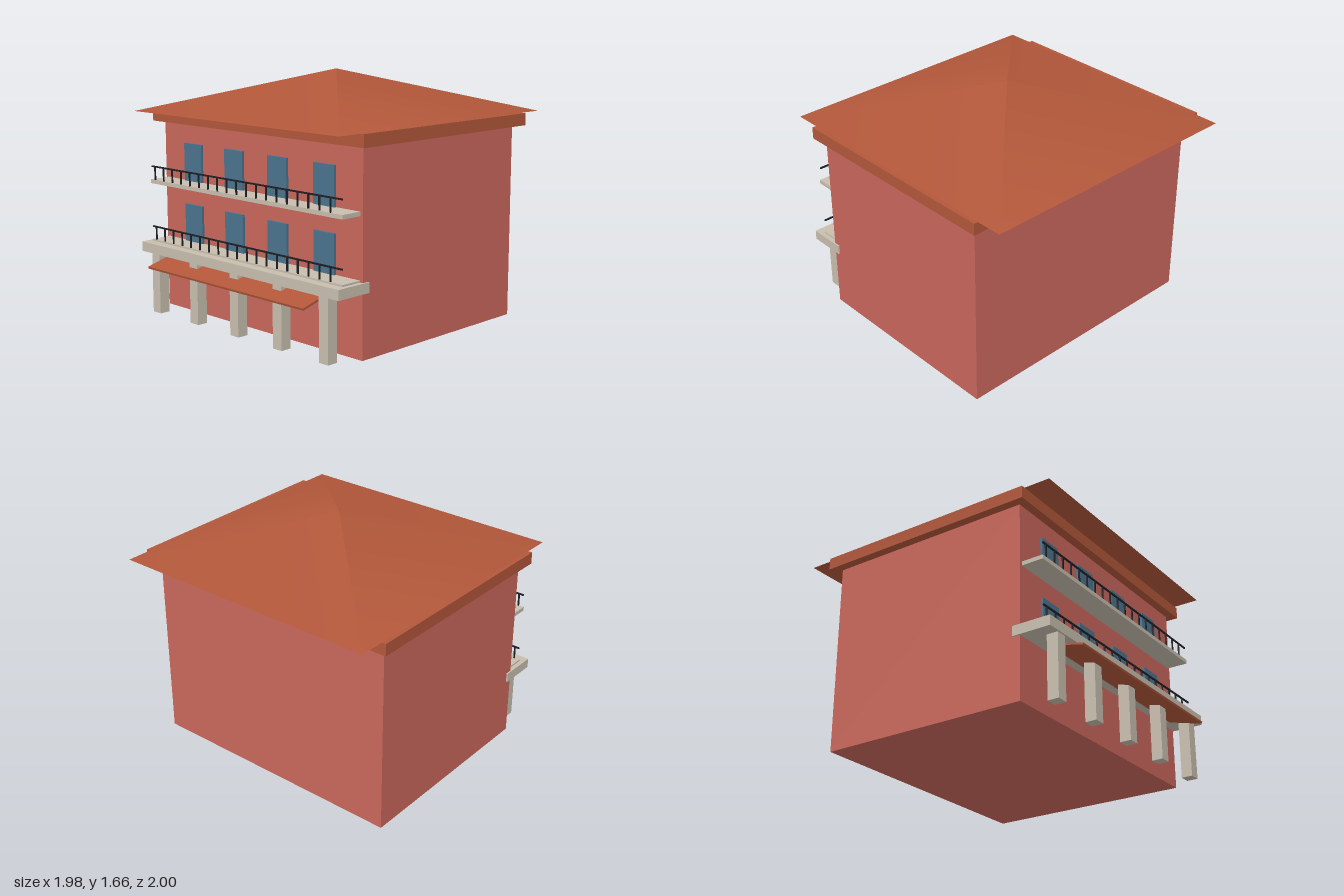
import * as THREE from 'three';

const material = (name, color) => Object.assign(new THREE.MeshStandardMaterial({ color }), { name });

export function createModel() {
  const wall = material('wall red', 0xc9675c);
  const tile = material('roof terracotta', 0xb2573a);
  const stone = material('pale stone', 0xc8beae);
  const glass = material('window blue', 0x4a738d);
  const iron = material('dark iron', 0x1c1f24);

  const house = new THREE.Group();
  house.name = 'house';

  // Box given by its limits on each axis
  const box = (name, mat, [x0, x1], [y0, y1], [z0, z1], parent = house) => {
    const mesh = new THREE.Mesh(new THREE.BoxGeometry(x1 - x0, y1 - y0, z1 - z0), mat);
    mesh.position.set((x0 + x1) / 2, (y0 + y1) / 2, (z0 + z1) / 2);
    mesh.name = name;
    parent.add(mesh);
    return mesh;
  };

  // Body and eaves
  box('walls', wall, [-0.928, 0.928], [0, 1.292], [-0.755, 0.685]);
  box('eaves', tile, [-0.988, 0.988], [1.292, 1.373], [-0.82, 0.743]);

  // Four-sided hip roof
  const roofGeometry = new THREE.ConeGeometry(Math.SQRT1_2, 0.285, 4);
  roofGeometry.rotateY(Math.PI / 4);
  roofGeometry.scale(1.92, 1, 1.92);
  const roof = new THREE.Mesh(roofGeometry, tile);
  roof.name = 'roof';
  roof.position.set(0, 1.373 + 0.1425, -0.039);
  house.add(roof);

  // Portico: beam on five columns
  box('porticoBeam', stone, [-0.938, 0.938], [0.412, 0.478], [0.637, 0.9]);
  for (let i = -2; i <= 2; i++) {
    const x = i * 0.402;
    box('column', stone, [x - 0.039, x + 0.039], [0, 0.412], [0.813, 0.889]);
  }

  // Sloping awning
  const awning = box('awning', tile, [-0.745, 0.745], [0.367, 0.381], [0.756, 1.002]);
  awning.rotation.x = 0.26;
  awning.scale.z = 0.995;

  // Two storeys of balcony, railing and windows
  for (const floor of [0.49, 0.905]) {
    const storey = new THREE.Group();
    storey.name = 'storey';
    house.add(storey);
    box('balconySlab', stone, [-0.907, 0.907], [floor - 0.027, floor], [0.685, 0.835], storey);
    box('handrail', iron, [-0.9, 0.9], [floor + 0.085, floor + 0.095], [0.825, 0.834], storey);
    for (let i = 0; i < 19; i++) {
      const x = -0.866 + i * 0.0928;
      box('baluster', iron, [x - 0.0045, x + 0.0045], [floor, floor + 0.09], [0.825, 0.834], storey);
    }
    for (const x of [-0.619, -0.206, 0.206, 0.619]) {
      box('window', glass, [x - 0.088, x + 0.088], [floor, floor + 0.255], [0.683, 0.702], storey);
    }
  }
  return house;
}
